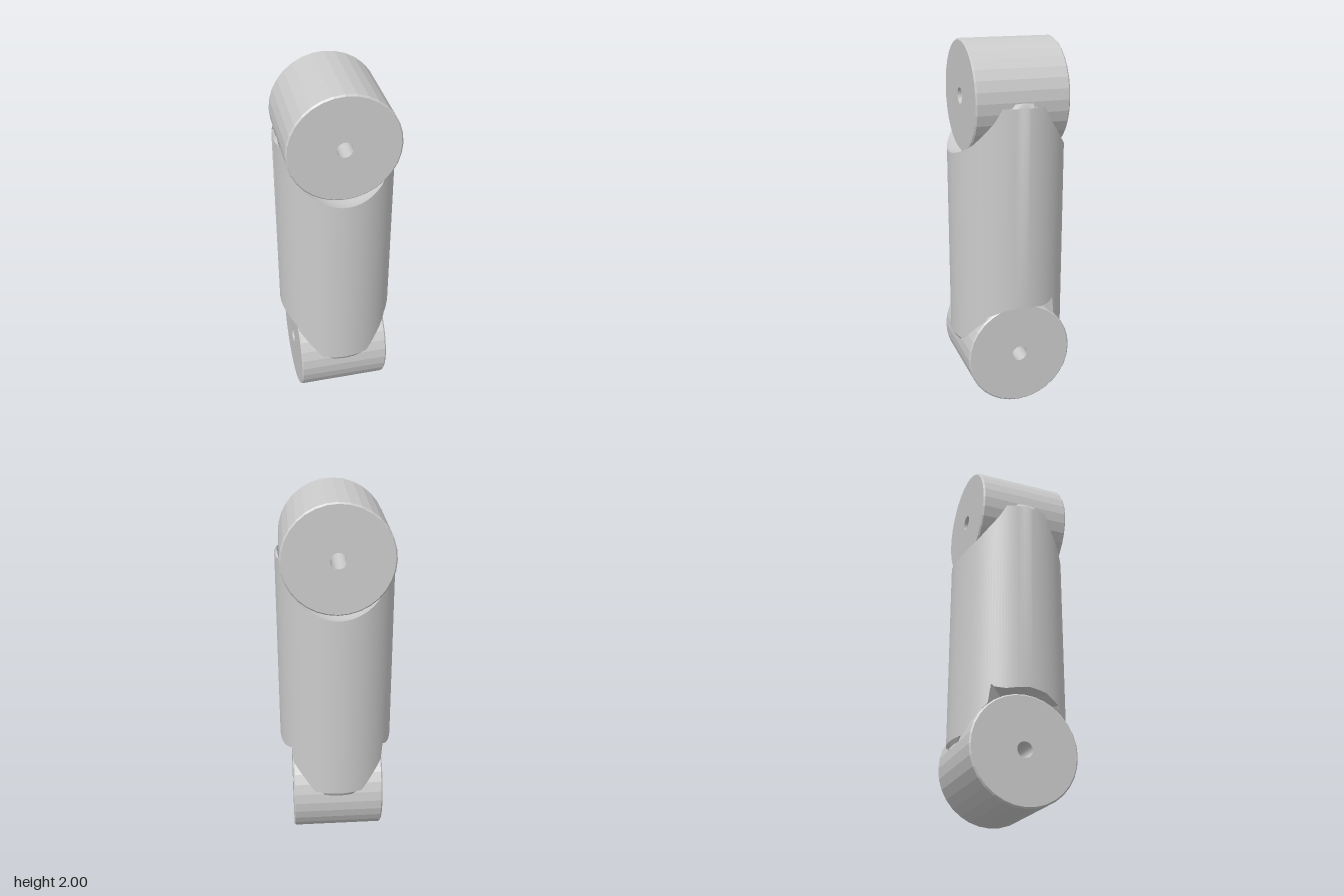
import * as THREE from 'three';
import { toCreasedNormals } from 'three/addons/utils/BufferGeometryUtils.js';

const TOP_Y = 1.708, LOW_Y = 0.294; // barrel centres
const R = 0.293, HALF = 0.25, BORE = 0.042;
const TUBE_R = 0.315, SADDLE_R = 0.297;

// piecewise-linear lookup through [x, y] pairs
function lerpTable(table, x) {
  if (x <= table[0][0]) return table[0][1];
  for (let i = 1; i < table.length; i++) {
    const [x0, y0] = table[i - 1], [x1, y1] = table[i];
    if (x <= x1) return y0 + ((y1 - y0) * (x - x0)) / (x1 - x0);
  }
  return table[table.length - 1][1];
}

// outline of the tube ends
const topEdge = [[0, 1.705], [0.07, 1.70], [0.11, 1.685], [0.15, 1.61], [0.245, 1.485], [0.315, 1.415]];
const lowEdge = [[0, 0.347], [0.09, 0.35], [0.13, 0.37], [0.25, 0.52], [0.315, 0.60]];
const notchEdge = [[-0.19, 0.62], [-0.17, 0.597], [-0.12, 0.587], [0, 0.602], [0.1, 0.588], [0.19, 0.545]];

const topHeight = (x, z) => lerpTable(topEdge, Math.abs(z));
const lowHeight = (x, z) => (Math.abs(z) < 0.192 ? lerpTable(notchEdge, z) : lerpTable(lowEdge, Math.abs(x)));
const sag = (t) => Math.sqrt(Math.max(0, SADDLE_R ** 2 - t * t));

// solid tube whose ends are hollowed to cradle the two barrels
function tubeGeometry() {
  const seg = 120, scales = [0.001, 0.4, 0.65, 0.85, 0.96, 1];
  const rows = [...scales.map((s) => [s, false]), ...scales.reverse().map((s) => [s, true])];
  const pos = [], index = [];
  rows.forEach(([s, top]) => {
    for (let j = 0; j < seg; j++) {
      const a = (j / seg) * Math.PI * 2;
      const ex = TUBE_R * Math.cos(a), ez = TUBE_R * Math.sin(a);
      const x = ex * s, z = ez * s;
      const edge = top ? topHeight(ex, ez) : lowHeight(ex, ez);
      let y;
      if (s === 1) y = top ? Math.min(edge, 1.68) : Math.max(edge, 0.37);
      else y = top ? Math.min(TOP_Y - sag(x), edge) : Math.max(LOW_Y + sag(z), edge);
      pos.push(x, y, z);
    }
  });
  for (let i = 0; i < rows.length - 1; i++) {
    for (let j = 0; j < seg; j++) {
      const a = i * seg + j, c = i * seg + ((j + 1) % seg), b = a + seg, d = c + seg;
      index.push(a, b, c, b, d, c);
    }
  }
  const g = new THREE.BufferGeometry();
  g.setAttribute('position', new THREE.Float32BufferAttribute(pos, 3));
  g.setIndex(index);
  return toCreasedNormals(g, 0.5);
}

// chamfered barrel with a through bore, axis along y
function barrelGeometry() {
  const c = 0.008;
  const profile = [
    [BORE, -HALF], [R - c, -HALF], [R, -HALF + c],
    [R, HALF - c], [R - c, HALF], [BORE, HALF], [BORE, -HALF],
  ].map(([x, y]) => new THREE.Vector2(x, y));
  return new THREE.LatheGeometry(profile, 32);
}

export function createModel() {
  const group = new THREE.Group();
  group.name = 'armLink';
  const smooth = new THREE.MeshStandardMaterial({ color: 0xcccccc });
  const faceted = new THREE.MeshStandardMaterial({ color: 0xcccccc, flatShading: true });

  const add = (name, geometry, material) => {
    const mesh = new THREE.Mesh(geometry, material);
    mesh.name = name;
    group.add(mesh);
    return mesh;
  };

  add('tube', tubeGeometry(), smooth);

  // upper barrel runs front to back, lower barrel runs side to side
  const barrel = barrelGeometry();
  const upper = add('upperBarrel', barrel, faceted);
  upper.position.y = TOP_Y;
  upper.rotation.x = Math.PI / 2;
  const lower = add('lowerBarrel', barrel, faceted);
  lower.position.y = LOW_Y;
  lower.rotation.z = Math.PI / 2;

  return group;
}
